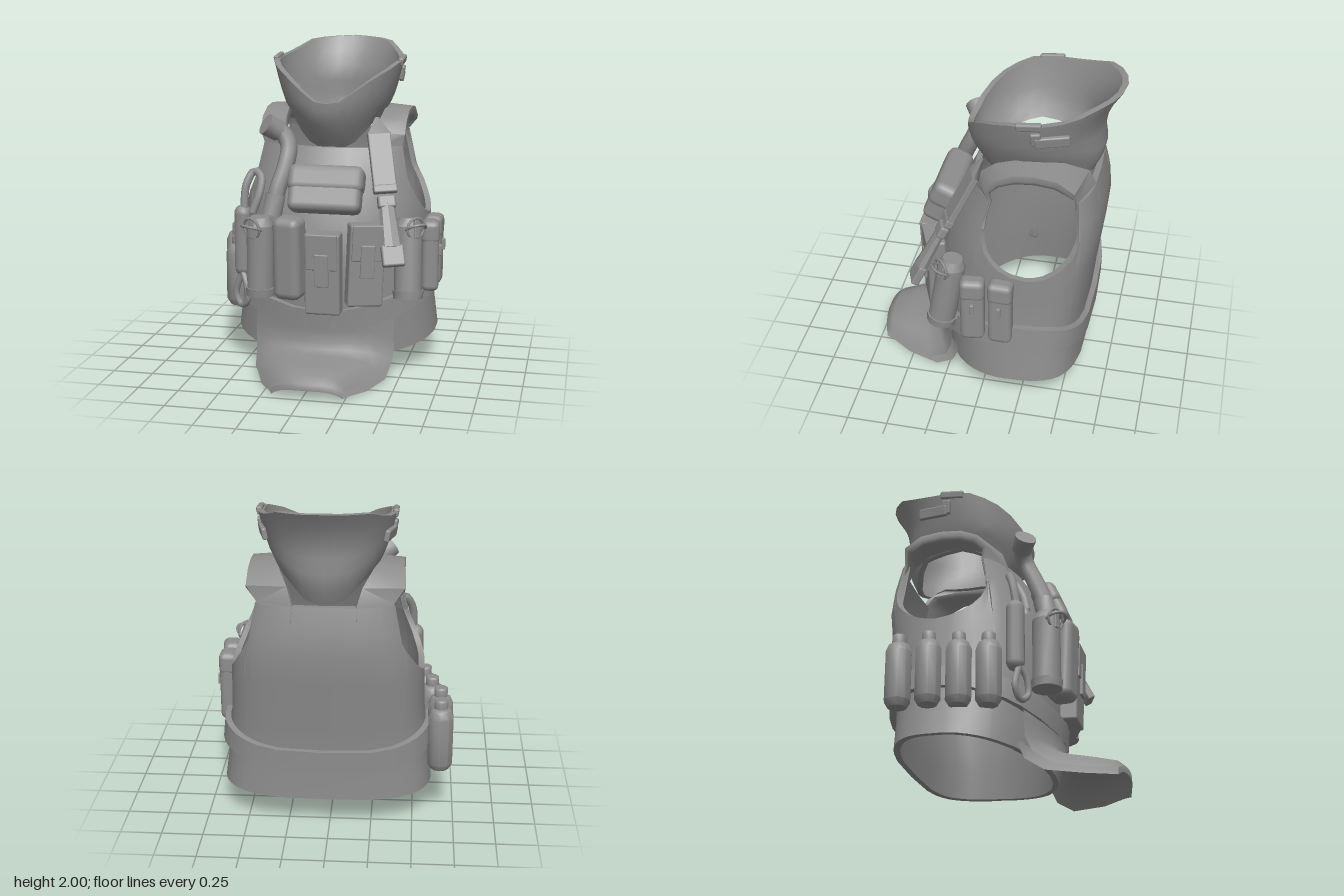
import * as THREE from 'three';
import { toCreasedNormals } from 'three/addons/utils/BufferGeometryUtils.js';
import { RoundedBoxGeometry } from 'three/addons/geometries/RoundedBoxGeometry.js';

const material = new THREE.MeshStandardMaterial({ color: 0x8d8d8d, side: THREE.DoubleSide });
const rad = THREE.MathUtils.degToRad;
const lerp = THREE.MathUtils.lerp;

// Linear lookup in rows of [key, a, b, ...]
function lookup(rows, key) {
  let i = 0;
  while (i < rows.length - 2 && key > rows[i + 1][0]) i++;
  const t = THREE.MathUtils.clamp((key - rows[i][0]) / (rows[i + 1][0] - rows[i][0]), 0, 1);
  return rows[i].slice(1).map((a, k) => lerp(a, rows[i + 1][k + 1], t));
}

// Skin a grid of cross-sections; each section is an array of [x, y, z]
function loft(sections, closeU, closeV, crease = 0.7) {
  const n = sections[0].length, m = sections.length, index = [];
  for (let j = 0; j < (closeV ? m : m - 1); j++) {
    for (let i = 0; i < (closeU ? n : n - 1); i++) {
      const a = j * n + i, b = j * n + (i + 1) % n;
      const d = ((j + 1) % m) * n + i, c = ((j + 1) % m) * n + (i + 1) % n;
      index.push(a, b, c, a, c, d);
    }
  }
  const geo = new THREE.BufferGeometry();
  geo.setAttribute('position', new THREE.Float32BufferAttribute(sections.flat(2), 3));
  geo.setIndex(index);
  return toCreasedNormals(geo, crease);
}

function add(parent, name, geo, pos = [0, 0, 0], rot = [0, 0, 0]) {
  const mesh = new THREE.Mesh(geo, material);
  mesh.name = name;
  mesh.position.set(...pos);
  mesh.rotation.set(...rot);
  parent.add(mesh);
}

function subgroup(parent, name, pos = [0, 0, 0], rot = [0, 0, 0]) {
  const g = new THREE.Group();
  g.name = name;
  g.position.set(...pos);
  g.rotation.set(...rot);
  parent.add(g);
  return g;
}

const box = (w, h, d, r = 0.02) => new RoundedBoxGeometry(w, h, d, 2, r);
const cyl = (r1, r2, h, n = 12) => toCreasedNormals(new THREE.CylinderGeometry(r1, r2, h, n), 0.7);
const tube = (pts, r) => new THREE.TubeGeometry(
  new THREE.CatmullRomCurve3(pts.map(p => new THREE.Vector3(...p))), 24, r, 8);

// Half-loop angles (0 = front, 180 = back), mirrored to a full loop
const half = [0, 15, 30, 45, 54, 60, 61, 63, 68, 74, 80, 86, 90, 93, 97, 103, 110, 118, 126, 131, 134, 136, 143, 152, 165, 180];
const angles = [...half, ...half.slice(1, -1).reverse().map(a => 360 - a)];
const fold = a => (a > 180 ? 360 - a : a);

// Oval whose back half can be squarer than its front
function oval(a, rx, zf, zb, zc, power) {
  const s = Math.sin(rad(a)), c = Math.cos(rad(a));
  const p = c < 0 ? power : 1;
  return [rx * Math.sign(s) * Math.abs(s) ** p, zc + (c < 0 ? zb - zc : zf - zc) * Math.abs(c) ** p];
}

// Torso profile: y, half width, front z, back z
const torso = [[0.1, 0.65, 0.3, -0.6], [0.45, 0.605, 0.34, -0.59], [0.7, 0.585, 0.36, -0.62], [0.95, 0.58, 0.32, -0.65],
  [1.1, 0.57, 0.27, -0.67], [1.25, 0.525, 0.21, -0.665], [1.37, 0.505, 0.15, -0.64], [1.45, 0.495, 0.09, -0.615]];
function torsoPoint(a, y, offset) {
  const [rx, zf, zb] = lookup(torso, y);
  const [x, z] = oval(a, rx + offset, zf + offset, zb - offset, -0.2, 0.6);
  return [x, y, z];
}

// Upper edge of the torso wall, dipping round each arm opening
function torsoTop(a) {
  const k = (torsoPoint(a, 1.15, 0)[2] + 0.28) / 0.3;
  if (Math.abs(k) <= 1) return 1.24 - 0.3 * Math.sqrt(1 - k * k);
  return k > 0 ? 1.39 : 1.42;
}

function buildShell(vest) {
  // Torso wall: up the outside, down the inside
  const rows = [0, 1, 2, 3, 4, 5, 6, 7, 8];
  const wall = (k, off) => angles.map(a => {
    const hem = 0.145 - 0.035 * Math.cos(rad(a)) + 0.05 * Math.sin(rad(a)) ** 2;
    return torsoPoint(a, lerp(hem, torsoTop(a), k / 8), off);
  });
  add(vest, 'torso', loft([...rows.map(k => wall(k, 0)), ...rows.reverse().map(k => wall(k, -0.035))], true, true));

  // Waist belt, higher at the hips
  const belt = [[0.005, 0], [0.042, 0], [0.038, 0.13], [0.005, 0.13]].map(([off, dy]) => angles.map(a => {
    const y = 0.34 - 0.04 * Math.cos(rad(a)) + 0.14 * Math.sin(rad(a)) ** 2;
    return torsoPoint(a, y + dy, off);
  }));
  add(vest, 'belt', loft(belt, true, true, 0.5));

  // Flared collar with a low front rim; lower edge arched over the shoulders
  const profile = [[1.36, 0.21, 0.015, -0.57], [1.43, 0.24, 0.075, -0.59], [1.56, 0.28, 0.16, -0.65],
    [1.63, 0.33, 0.18, -0.65], [1.73, 0.365, 0.18, -0.63], [1.86, 0.4, 0.175, -0.66], [2, 0.425, 0.175, -0.75]];
  const rim = [[0, 1.66], [13, 1.67], [26, 1.725], [45, 1.81], [75, 1.885], [110, 1.905], [125, 1.93],
    [142, 1.98], [155, 1.99], [180, 2]];
  const base = [[0, 1.35], [35, 1.39], [65, 1.52], [90, 1.56], [130, 1.54], [155, 1.44], [180, 1.42]];
  const around = Array.from({ length: 28 }, (_, i) => i * 360 / 28);
  const ring = (t, off) => around.map(a => {
    const y = lerp(lookup(base, fold(a))[0], lookup(rim, fold(a))[0], t);
    const [rx, zf, zb] = lookup(profile, y);
    const [x, z] = oval(a, rx - off, zf - off, zb + off, -0.22, 0.96);
    return [x, y, z];
  });
  const ts = [0, 0.17, 0.34, 0.5, 0.67, 0.84, 1];
  add(vest, 'collar', loft([...ts.map(t => ring(t, 0)), ...ts.reverse().map(t => ring(t, 0.035))], true, true));

  // Shoulder straps: edge pairs start on the chest, arch over, and end on the back
  const onTorso = ([inner, outer, y]) => [...torsoPoint(inner, y, -0.016), ...torsoPoint(outer, y, -0.016), 0.015];
  const arch = [[0.28, 1.47, 0.03, 0.445, 1.45, -0.025, 0.024], [0.29, 1.53, -0.06, 0.45, 1.515, -0.08, 0.031],
    [0.3, 1.565, -0.17, 0.45, 1.555, -0.18, 0.034], [0.3, 1.575, -0.3, 0.45, 1.565, -0.3, 0.034],
    [0.27, 1.565, -0.43, 0.45, 1.55, -0.42, 0.034], [0.21, 1.51, -0.56, 0.45, 1.495, -0.51, 0.027]];
  const path = [...[[30, 62, 1.2], [31, 60.5, 1.28], [33, 60.5, 1.38]].map(onTorso), ...arch,
    ...[[169, 135.5, 1.42], [169, 135.5, 1.3]].map(onTorso)];
  const middle = p => new THREE.Vector3(p[0] + p[3], p[1] + p[4], p[2] + p[5]);
  for (const side of [-1, 1]) {
    const sections = path.map((p, i) => {
      const inner = new THREE.Vector3(p[0], p[1], p[2]), outer = new THREE.Vector3(p[3], p[4], p[5]);
      const along = middle(path[Math.min(i + 1, path.length - 1)]).sub(middle(path[Math.max(i - 1, 0)]));
      const normal = along.cross(outer.clone().sub(inner)).normalize();
      return [[0, -1], [1, -1], [1.03, 0], [0.98, 0.7], [0.86, 1], [0.1, 1], [0, 0.5]].map(([u, t]) => {
        const v = inner.clone().lerp(outer, u).addScaledVector(normal, t * p[6]);
        return [side * v.x, v.y, v.z];
      });
    });
    add(vest, 'shoulderStrap', loft(sections, true, false, 0.9));
    // Collar fastening tabs
    add(vest, 'collarTab', box(0.03, 0.07, 0.2, 0.01), [side * 0.368, 1.795, -0.38], [0.08, side * 0.22, side * -0.2]);
    add(vest, 'collarBuckle', box(0.035, 0.09, 0.06, 0.01), [side * 0.385, 1.81, -0.29], [0.1, side * 0.1, side * -0.2]);
    add(vest, 'collarEdge', box(0.035, 0.05, 0.15, 0.012), [side * 0.393, 1.89, -0.25], [0.1, 0, side * -0.2]);
  }

  // Groin flap bending forward: z, y, half width, side wrap, edge droop
  const flap = [[0.37, 0.42, 0.42, 0.16, 0], [0.365, 0.3, 0.43, 0.15, 0], [0.36, 0.23, 0.43, 0.14, 0.02],
    [0.38, 0.19, 0.42, 0.12, 0.07], [0.45, 0.17, 0.4, 0.08, 0.12], [0.58, 0.155, 0.32, 0.05, 0.115],
    [0.7, 0.135, 0.235, 0.035, 0.085], [0.745, 0.095, 0.215, 0.035, 0.045]];
  const across = [-1, -0.9, -0.7, -0.45, -0.2, 0.2, 0.45, 0.7, 0.9, 1];
  const face = (depth, drop) => flap.map(([z, y, w, wrap, droop], i) => across.map(u =>
    [u * w, y - droop * u ** 4 - (i > 1 ? drop : 0), z - wrap * u * u - (i < 5 ? depth : 0)]));
  add(vest, 'groinFlap', loft([...face(0, 0), ...face(0.045, 0.04).reverse()], false, true, 1.0));
}

// Ring-topped canister
function canister(parent, pos, rot) {
  const g = subgroup(parent, 'canister', pos, rot);
  add(g, 'canisterBody', cyl(0.085, 0.085, 0.42));
  add(g, 'canisterBase', cyl(0.095, 0.09, 0.05), [0, -0.2, 0]);
  add(g, 'canisterCap', cyl(0.06, 0.085, 0.05), [0, 0.235, 0]);
  add(g, 'canisterLever', box(0.035, 0.12, 0.02, 0.006), [0, 0.2, 0.08]);
  for (const tilt of [0.15, 1.2]) {
    add(g, 'pullRing', new THREE.TorusGeometry(0.062, 0.009, 6, 18), [0, 0.2, 0.075], [tilt, 0, 0]);
  }
}

// Flat magazine pouch with a framed front
function magazinePouch(parent, pos, rot) {
  const g = subgroup(parent, 'magazinePouch', pos, rot);
  add(g, 'pouchBody', box(0.215, 0.5, 0.11, 0.015));
  add(g, 'pouchLid', box(0.19, 0.22, 0.03, 0.008), [0, 0.14, 0.05]);
  add(g, 'pouchPanel', box(0.085, 0.2, 0.02, 0.006), [0, 0.03, 0.065]);
}

function buildGear(root) {
  // Chest bag with a lid
  const bag = subgroup(root, 'chestBag', [0.055, 1.165, 0.315], [-0.42, 0, 0]);
  add(bag, 'bagBody', box(0.44, 0.28, 0.15, 0.045));
  add(bag, 'bagLid', box(0.46, 0.17, 0.165, 0.05), [0, 0.06, 0]);

  magazinePouch(root, [0.06, 0.68, 0.405], [0.04, 0, 0]);
  magazinePouch(root, [0.3, 0.73, 0.345], [0, 0.4, -0.04]);
  add(root, 'roundedPouch', box(0.175, 0.51, 0.16, 0.05), [-0.15, 0.76, 0.395], [0.05, -0.2, 0]);
  canister(root, [-0.345, 0.73, 0.34], [0, -0.5, 0]);
  canister(root, [0.54, 0.73, 0.215], [-0.2, 0.8, 0.05]);

  // Hip pouches on the left side
  for (const [z, turn] of [[0.03, 0.12], [-0.14, -0.03]]) {
    const g = subgroup(root, 'hipPouch', [0.65, 0.73, z], [0, turn, 0]);
    add(g, 'hipPouchBody', box(0.105, 0.44, 0.145, 0.035));
    add(g, 'hipPouchLid', box(0.112, 0.14, 0.15, 0.035), [0, 0.148, 0]);
    add(g, 'hipPouchTab', box(0.03, 0.07, 0.025, 0.005), [0.055, 0.03, 0]);
  }

  // Row of flasks on the right hip
  const outline = [[0, 0.35], [0.055, 0.35], [0.078, 0.39], [0.078, 0.69], [0.06, 0.735], [0.042, 0.745],
    [0.042, 0.79], [0.034, 0.8], [0, 0.8]].map(p => new THREE.Vector2(...p));
  for (const [x, z] of [[-0.66, -0.46], [-0.66, -0.28], [-0.61, -0.115], [-0.565, 0.05]]) {
    add(root, 'flask', toCreasedNormals(new THREE.LatheGeometry(outline, 10), 0.7), [x, 0, z]);
  }

  // Slim cylinder with cord loops above and below
  add(root, 'slimCylinder', new THREE.CapsuleGeometry(0.055, 0.34, 4, 10), [-0.495, 0.8, 0.19]);
  add(root, 'upperLoop', tube([[-0.485, 0.98, 0.2], [-0.475, 1.15, 0.17], [-0.43, 1.23, 0.14],
    [-0.385, 1.2, 0.16], [-0.385, 1.1, 0.21], [-0.42, 0.99, 0.24]], 0.025));
  add(root, 'lowerLoop', tube([[-0.5, 0.6, 0.21], [-0.54, 0.46, 0.2], [-0.5, 0.395, 0.22],
    [-0.455, 0.43, 0.25], [-0.46, 0.53, 0.25], [-0.49, 0.6, 0.22]], 0.02));

  // Angled flashlight
  const light = subgroup(root, 'flashlight');
  add(light, 'lightBody', tube([[-0.265, 1.02, 0.33], [-0.245, 1.15, 0.3], [-0.205, 1.3, 0.24],
    [-0.2, 1.41, 0.19], [-0.235, 1.47, 0.175], [-0.28, 1.5, 0.18]], 0.053));
  add(light, 'lightFoot', cyl(0.062, 0.062, 0.13), [-0.265, 1.06, 0.32], [-0.25, 0, -0.15]);
  add(light, 'lightHead', cyl(0.068, 0.062, 0.1), [-0.3, 1.51, 0.195], [0.75, 0, 0.8]);

  // Sheathed knife hanging diagonally, tip upward
  const knife = subgroup(root, 'knife', [0.4, 1.16, 0.235]);
  const up = new THREE.Vector3(-0.18, 0.82, -0.4).normalize();
  const right = new THREE.Vector3().crossVectors(up, new THREE.Vector3(0.3, 0.4, 0.85)).normalize();
  knife.quaternion.setFromRotationMatrix(
    new THREE.Matrix4().makeBasis(right, up, new THREE.Vector3().crossVectors(right, up)));
  add(knife, 'sheath', box(0.14, 0.36, 0.04, 0.008), [0, 0.18, 0]);
  add(knife, 'sheathTip', new THREE.CylinderGeometry(0.012, 0.09, 0.11, 4, 1, false, Math.PI / 4)
    .scale(1.1, 1, 0.3), [0, 0.41, 0]);
  add(knife, 'sheathBand', box(0.145, 0.05, 0.05, 0.01), [0, 0.01, 0]);
  add(knife, 'guard', box(0.11, 0.08, 0.055, 0.015), [0, -0.07, 0]);
  add(knife, 'grip', cyl(0.045, 0.065, 0.3, 8).scale(1, 1, 0.6), [0, -0.2, 0]);
  add(knife, 'pommel', box(0.135, 0.13, 0.05, 0.012), [0, -0.4, 0]);
}

export function createModel() {
  const root = new THREE.Group();
  root.name = 'tacticalVest';
  buildShell(subgroup(root, 'vest', [0.025, 0, 0]));
  buildGear(root);
  return root;
}
